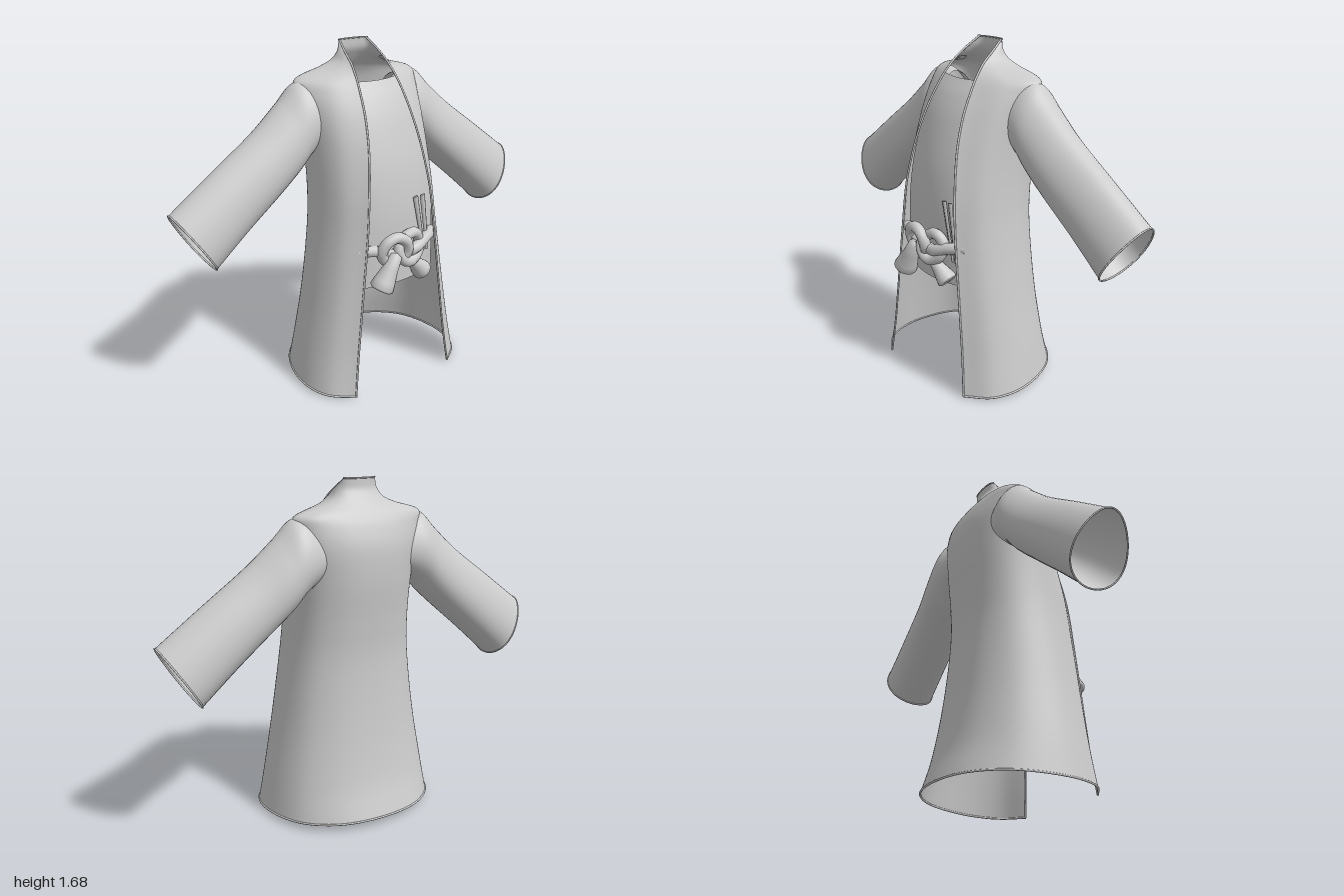
import * as THREE from 'three';
import { mergeVertices } from 'three/addons/utils/BufferGeometryUtils.js';

const V = (x, y, z) => new THREE.Vector3(x, y, z);
const cloth = new THREE.MeshStandardMaterial({ color: 0xcccccc, side: THREE.DoubleSide });

// Bend a plane into a smooth surface: fn(u, v) returns a point
function surface(nu, nv, fn) {
  const geo = new THREE.PlaneGeometry(1, 1, nu, nv);
  const pos = geo.attributes.position, uv = geo.attributes.uv;
  for (let i = 0; i < pos.count; i++) {
    const p = fn(uv.getX(i), uv.getY(i));
    pos.setXYZ(i, p.x, p.y, p.z);
  }
  geo.deleteAttribute('uv');
  geo.deleteAttribute('normal');
  const merged = mergeVertices(geo, 1e-5);
  merged.computeVertexNormals();
  return merged;
}

// Smooth interpolation through rows of numbers, t from 0 to 1
function smoothRows(rows) {
  const f = new THREE.CubicInterpolant(rows.map((_, i) => i), rows.flat(), rows[0].length);
  return t => Array.from(f.evaluate(t * (rows.length - 1)));
}

// Coat sections: height, half width, side z, back z, front edge x, front edge z, corner softness
const coatRow = smoothRows([
  [0.00, 0.450, 0.05, -0.370, 0.295, 0.305, 0.27],
  [0.20, 0.418, 0.03, -0.315, 0.270, 0.290, 0.27],
  [0.50, 0.367, 0.02, -0.272, 0.235, 0.280, 0.27],
  [0.80, 0.325, 0.00, -0.250, 0.200, 0.270, 0.27],
  [1.00, 0.310, -0.02, -0.260, 0.180, 0.255, 0.28],
  [1.20, 0.310, -0.05, -0.280, 0.152, 0.215, 0.30],
  [1.35, 0.325, -0.08, -0.280, 0.132, 0.160, 0.33],
  [1.45, 0.340, -0.10, -0.255, 0.120, 0.105, 0.38],
  [1.51, 0.330, -0.12, -0.225, 0.112, 0.065, 0.42],
  [1.55, 0.200, -0.125, -0.195, 0.105, 0.030, 0.40],
  [1.58, 0.135, -0.115, -0.175, 0.100, 0.000, 0.35],
  [1.62, 0.106, -0.105, -0.153, 0.094, -0.055, 0.35],
  [1.67, 0.085, -0.125, -0.148, 0.077, -0.130, 0.35],
]);

// u runs from the left front edge round the back to the right front edge
function coatPoint(u, v) {
  const [y, w, zs, zb, xf, zf, a] = coatRow(v);
  const half = [
    [xf, zf],
    [w - (w - xf) * a, zs + (zf - zs) * 0.63],
    [w, zs],
    [w * 0.85, zs + (zb - zs) * 0.58],
    [w * 0.5, zs + (zb - zs) * 0.9],
  ];
  const pts = [
    ...half.map(([x, z]) => V(x, 0, z)),
    V(0, 0, zb),
    ...half.map(([x, z]) => V(-x, 0, z)).reverse(),
  ];
  const p = new THREE.CatmullRomCurve3(pts).getPoint(u);
  p.y = y + Math.max(0, 1 - y / 0.4) * (0.3 - p.z) * 0.05 + 0.004;
  return p;
}

// Sleeve sections: top x, top y, bottom x, bottom y, middle z, half depth
const sleeveRow = smoothRows([
  [0.22, 1.49, 0.20, 1.22, -0.10, 0.120],
  [0.335, 1.505, 0.30, 1.16, -0.11, 0.140],
  [0.43, 1.420, 0.38, 1.08, -0.11, 0.145],
  [0.57, 1.300, 0.49, 0.985, -0.105, 0.140],
  [0.78, 1.150, 0.65, 0.850, -0.105, 0.135],
  [1.00, 0.990, 0.82, 0.700, -0.105, 0.135],
]);

function sleevePoint(side, u, v) {
  const [tx, ty, bx, by, zm, zh] = sleeveRow(v);
  const c = Math.cos(u * Math.PI * 2), s = Math.sin(u * Math.PI * 2);
  return V(side * ((tx + bx) / 2 + c * (tx - bx) / 2), (ty + by) / 2 + c * (ty - by) / 2,
    zm + side * s * zh * (1 - 0.22 * c));
}

// Inner chest panel: height, centre z, half width
const panelRow = smoothRows([
  [0.53, 0.250, 0.27], [0.70, 0.252, 0.26], [0.90, 0.248, 0.25],
  [1.10, 0.220, 0.23], [1.30, 0.160, 0.21], [1.42, 0.105, 0.18], [1.50, 0.050, 0.15],
]);

function panelPoint(u, v) {
  const [y, z, w] = panelRow(v);
  const x = (u * 2 - 1) * w;
  return V(x, y + 0.3 * x * x * v, z - 1.0 * x * x);
}

export function createModel() {
  const model = new THREE.Group();
  const add = (name, geo) => {
    const mesh = new THREE.Mesh(geo, cloth);
    mesh.name = name;
    model.add(mesh);
    return mesh;
  };
  const cord = (name, pts, r, closed = false, segments = 80) =>
    add(name, new THREE.TubeGeometry(new THREE.CatmullRomCurve3(pts, closed), segments, r, 10, closed));
  const sample = (n, fn) => Array.from({ length: n + 1 }, (_, i) => fn(i / n));

  // Coat body with thin trim along the open edges
  add('coatBody', surface(72, 72, coatPoint));
  cord('leftFrontTrim', sample(24, t => coatPoint(0, t)), 0.005);
  cord('rightFrontTrim', sample(24, t => coatPoint(1, t)), 0.005);
  cord('hemTrim', sample(30, t => coatPoint(t, 0)), 0.005);
  cord('collarTrim', sample(16, t => coatPoint(t, 1)), 0.004);

  // Sleeves
  for (const side of [1, -1]) {
    const word = side > 0 ? 'left' : 'right';
    add(word + 'Sleeve', surface(40, 32, (u, v) => sleevePoint(side, u, v)));
    cord(word + 'CuffTrim', sample(23, t => sleevePoint(side, t * 23 / 24, 1)), 0.004, true);
  }

  // Chest panel behind the opening
  add('chestPanel', surface(24, 36, panelPoint));

  // Knotted belt: two interlocking loops and the strands leading to the sides
  cord('leftStrand', [V(0.225, 0.745, 0.225), V(0.15, 0.735, 0.265), V(0.07, 0.71, 0.29),
    V(0.01, 0.70, 0.28), V(-0.05, 0.69, 0.26)], 0.029);
  cord('rightStrand', [V(-0.225, 0.735, 0.225), V(-0.15, 0.735, 0.26), V(-0.08, 0.71, 0.275),
    V(0, 0.665, 0.285), V(0.07, 0.65, 0.28)], 0.027);
  cord('knotLoopRight', [V(-0.125, 0.72, 0.28), V(-0.105, 0.775, 0.295), V(-0.05, 0.795, 0.305),
    V(0, 0.765, 0.31), V(0.012, 0.71, 0.30), V(-0.03, 0.67, 0.28), V(-0.09, 0.675, 0.275)], 0.028, true);
  cord('knotLoopLeft', [V(-0.03, 0.72, 0.29), V(0.02, 0.775, 0.275), V(0.075, 0.785, 0.275),
    V(0.11, 0.74, 0.265), V(0.095, 0.68, 0.28), V(0.04, 0.65, 0.295), V(-0.01, 0.67, 0.30)], 0.027, true);

  // Flared belt ends
  const tail = (name, from, to, r) => {
    const len = from.distanceTo(to);
    const profile = [[0.001, len], [r * 0.8, len], [r, len * 0.94], [r * 0.9, len * 0.75],
      [r * 0.65, len * 0.4], [r * 0.5, 0], [0.001, -0.01]];
    const geo = new THREE.LatheGeometry(profile.map(([x, y]) => new THREE.Vector2(x, y)).reverse(), 20);
    const mesh = add(name, geo);
    mesh.position.copy(from);
    mesh.quaternion.setFromUnitVectors(V(0, 1, 0), to.clone().sub(from).normalize());
  };
  tail('rightBeltEnd', V(-0.06, 0.71, 0.31), V(-0.15, 0.55, 0.305), 0.06);
  tail('leftBeltEnd', V(0.04, 0.66, 0.285), V(0.14, 0.56, 0.265), 0.05);

  // Slim tapered slats tucked behind the belt
  for (const [x, lean] of [[0.128, 0.2], [0.16, 0.13]]) {
    const slat = add('tuckedSlat', new THREE.CylinderGeometry(0.016, 0.009, 0.3, 4));
    slat.scale.z = 0.5;
    slat.position.set(x, 0.81, 0.25);
    slat.rotation.z = lean;
  }
  return model;
}
